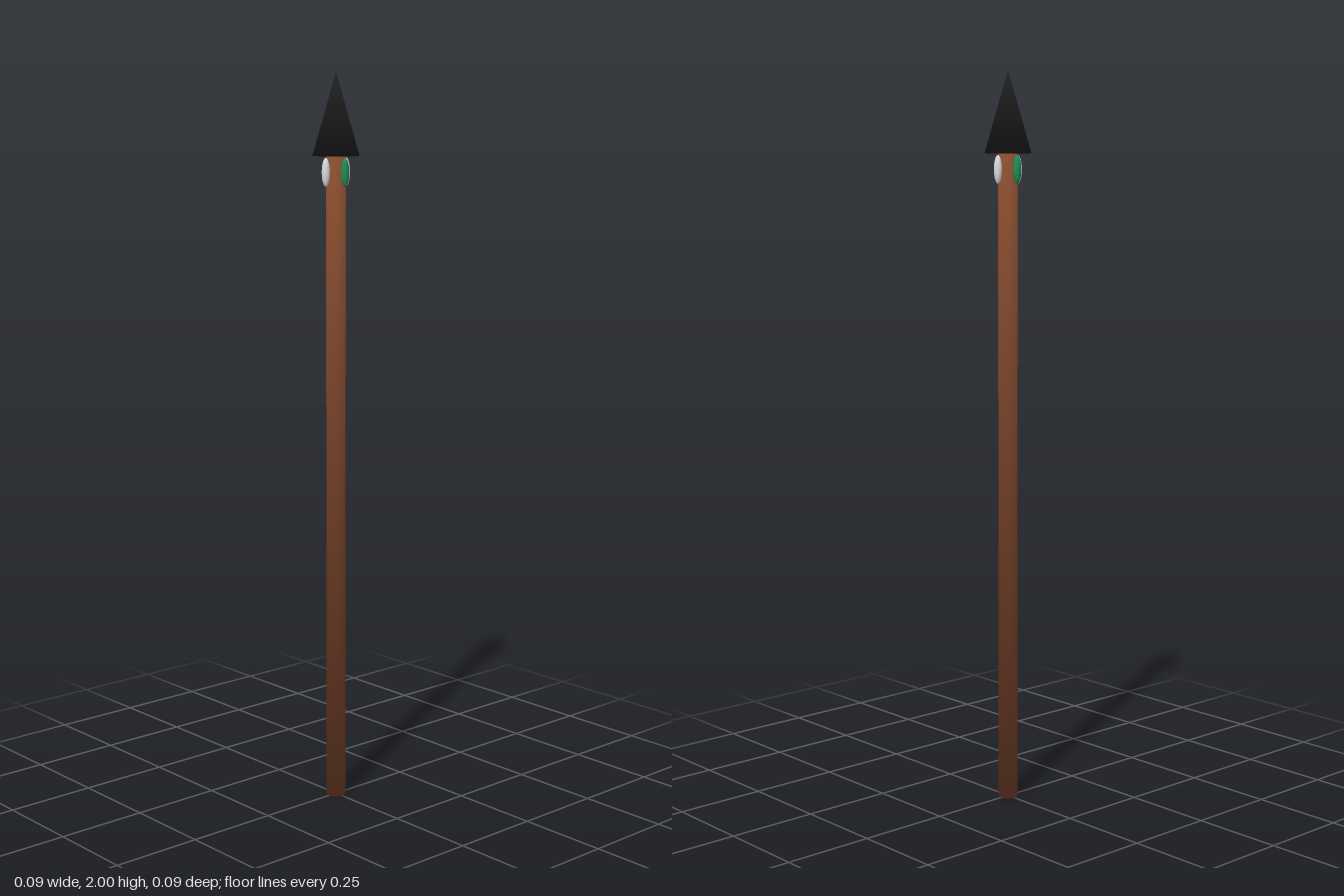
import * as THREE from 'three';

function material(name, color) {
  const m = new THREE.MeshStandardMaterial({ color });
  m.name = name;
  return m;
}

// Soft rims: normals lean outward and toward the nearer end
function softRims(geometry, radius) {
  const { position, normal } = geometry.attributes;
  const n = new THREE.Vector3();
  for (let i = 0; i < position.count; i++) {
    n.fromBufferAttribute(position, i);
    n.setY(Math.sign(n.y) * radius).normalize();
    normal.setXYZ(i, n.x, n.y, n.z);
  }
  return geometry;
}

export function createModel() {
  const model = new THREE.Group();
  model.name = 'spear';
  const wood = material('brown wood', 0x80482c);
  const iron = material('black iron', 0x202020);
  const green = material('green bead', 0x1f8f50);
  const white = material('white bead', 0xdcdcdc);

  const add = (name, geometry, mat, x, y, z) => {
    const mesh = new THREE.Mesh(geometry, mat);
    mesh.name = name;
    mesh.position.set(x, y, z);
    model.add(mesh);
  };

  // Long round shaft
  const shaftRadius = 0.0265;
  const shaft = new THREE.CylinderGeometry(shaftRadius, shaftRadius, 1.79, 16);
  add('shaft', softRims(shaft, shaftRadius), wood, 0, 0.895, 0);

  // Square pyramid point, sides facing the axes
  const pointRadius = 0.0445 * Math.SQRT2;
  const point = new THREE.ConeGeometry(pointRadius, 0.22, 4);
  point.rotateY(Math.PI / 4);
  add('spearhead', softRims(point, pointRadius), iron, 0, 1.89, 0);

  // Four long beads below the point: green front and back, white at the sides
  const bead = new THREE.SphereGeometry(1, 16, 12);
  bead.scale(0.011, 0.038, 0.011);
  for (const s of [1, -1]) {
    add(s > 0 ? 'frontBead' : 'backBead', bead, green, 0, 1.738, s * 0.036);
    add(s > 0 ? 'leftBead' : 'rightBead', bead, white, s * 0.036, 1.738, 0);
  }

  return model;
}
